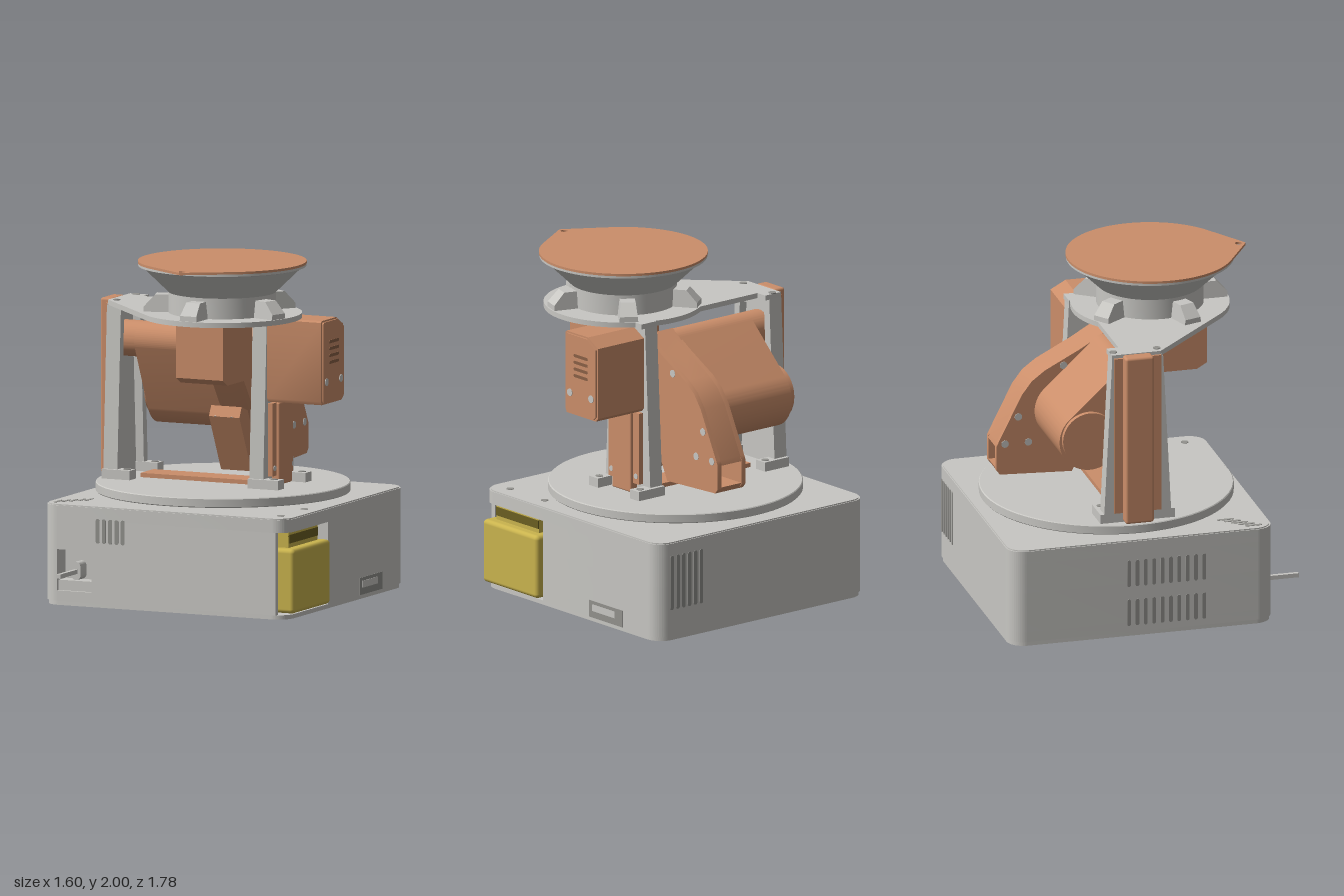
import * as THREE from 'three';
import { toCreasedNormals } from 'three/addons/utils/BufferGeometryUtils.js';
import { RoundedBoxGeometry } from 'three/addons/geometries/RoundedBoxGeometry.js';

const mat = (name, color) => Object.assign(new THREE.MeshStandardMaterial({ color }), { name });

export function createModel() {
  const grey = mat('light grey', 0xc8c7c3), orange = mat('terracotta', 0xcb8e6a);
  const yellow = mat('battery yellow', 0xcab44e), dark = mat('vent grey', 0x92918d);
  const brown = mat('recess brown', 0x8a6046), olive = mat('contact olive', 0x6b5f22);
  const model = new THREE.Group();

  const add = (name, geo, material) => {
    const m = new THREE.Mesh(geo, material);
    m.name = name;
    model.add(m);
    return m;
  };
  // box from its limits, optionally with rounded edges
  const box = (name, material, x0, x1, y0, y1, z0, z1, r = 0) => {
    const s = [x1 - x0, y1 - y0, z1 - z0];
    const g = r ? new RoundedBoxGeometry(...s, 3, r) : new THREE.BoxGeometry(...s);
    return add(name, g.translate((x0 + x1) / 2, (y0 + y1) / 2, (z0 + z1) / 2), material);
  };
  // extrusion from a to b along an axis; shapes are (x,z) for y, (x,y) for z, (-z,y) for x
  const slab = (name, material, shape, axis, a, b) => {
    let g = new THREE.ExtrudeGeometry(shape, { depth: b - a, bevelEnabled: false, curveSegments: 40 });
    if (axis === 'y') g.rotateX(Math.PI / 2).translate(0, b, 0);
    else if (axis === 'x') g.rotateY(Math.PI / 2).translate(a, 0, 0);
    else g.translate(0, 0, a);
    return add(name, toCreasedNormals(g, 0.5), material);
  };
  const poly = (pts) => new THREE.Shape(pts.map((p) => new THREE.Vector2(...p)));
  const side = (pts) => poly(pts.map(([z, y]) => [-z, y]));
  const disc = (x, y, r) => new THREE.Shape().absarc(x, y, r, 0, Math.PI * 2);
  // outline wrapped around two circles
  const hull = (x1, y1, r1, x2, y2, r2) => {
    const f = Math.atan2(y2 - y1, x2 - x1), k = Math.acos((r1 - r2) / Math.hypot(x2 - x1, y2 - y1));
    const s = new THREE.Shape();
    s.absarc(x1, y1, r1, f + k, f - k + Math.PI * 2);
    s.absarc(x2, y2, r2, f - k, f + k);
    return s;
  };

  // --- base housing, stacked in layers so the battery bay and front port are open
  const plan = (bay, port, o = 0) => {
    const s = new THREE.Shape(), L = -0.8 + o, R = 0.77 - o, B = -0.89 + o, F = 0.69 - o, r = 0.1, H = Math.PI / 2;
    s.absarc(L + r, B + r, r, Math.PI, 3 * H);
    s.absarc(R - r, B + r, r, -H, 0);
    if (bay) [[R, 0.145], [0.55, 0.145], [0.55, 0.66], [0.7, 0.66], [0.7, F]].forEach((p) => s.lineTo(...p));
    else s.absarc(R - r, F - r, r, 0, H);
    if (port) [[-0.48, F], [-0.48, 0.58], [-0.7, 0.58], [-0.7, F]].forEach((p) => s.lineTo(...p));
    s.absarc(L + r, F - r, r, H, Math.PI);
    return s;
  };
  slab('baseBottom', grey, plan(false, false, 0.006), 'y', 0.005, 0.03);
  slab('baseLower', grey, plan(true, false), 'y', 0.03, 0.09);
  slab('basePortLayer', grey, plan(true, true), 'y', 0.09, 0.33);
  slab('baseUpper', grey, plan(true, false), 'y', 0.33, 0.51);
  slab('baseTop', grey, plan(false, false), 'y', 0.51, 0.585);
  slab('baseTopEdge', grey, plan(false, false, 0.006), 'y', 0.585, 0.592);

  // front port with its plug and cable
  box('portFloor', grey, -0.7, -0.48, 0.09, 0.15, 0.58, 0.67);
  slab('portPlug', grey, hull(-0.594, 0.18, 0.028, -0.594, 0.23, 0.028), 'z', 0.58, 0.66);
  box('cable', grey, -0.606, -0.583, 0.19, 0.215, 0.6, 0.89);

  // vents on the front, back, right-hand side and lid
  for (let i = 0; i < 5; i++) {
    const x = -0.44 + i * 0.04;
    slab('frontVent', dark, hull(x, 0.39, 0.012, x, 0.51, 0.012), 'z', 0.688, 0.693);
    const t = -0.745 + i * 0.033, z = 0.62 - i * 0.033;
    slab('topVent', dark, hull(t, z - 0.08, 0.01, t, z, 0.01), 'y', 0.59, 0.594);
  }
  for (let i = 0; i < 6; i++) {
    const x = 0.45 + i * 0.044;
    slab('backVent', dark, hull(x, 0.2, 0.013, x, 0.5, 0.013), 'z', -0.893, -0.888);
  }
  for (let i = 0; i < 10; i++) for (const y of [0.08, 0.32]) {
    const z = 0.18 - i * 0.05;
    slab('sideVent', dark, hull(z, y, 0.011, z, y + 0.14, 0.011), 'x', -0.803, -0.798);
  }
  // side connector
  box('sidePort', dark, 0.768, 0.773, 0.03, 0.13, -0.57, -0.27);
  box('sidePortPlug', grey, 0.76, 0.776, 0.07, 0.11, -0.5, -0.3);
  // lid screws and underside feet
  for (const z of [0.25, 0.56]) slab('lidScrew', dark, disc(0.67, z, 0.022), 'y', 0.59, 0.595);
  for (const x of [-0.66, 0.63]) for (const z of [-0.75, 0.55])
    slab('footPad', dark, disc(x, z, 0.05), 'y', 0, 0.006);

  // --- battery
  box('battery', yellow, 0.551, 0.8, 0.04, 0.415, 0.165, 0.657, 0.025);
  box('batteryNeck', yellow, 0.551, 0.74, 0.4, 0.509, 0.22, 0.6);
  box('batteryContacts', olive, 0.735, 0.744, 0.44, 0.49, 0.22, 0.6);

  // --- turntable
  slab('turntableBearing', grey, disc(-0.02, -0.1, 0.54), 'y', 0.59, 0.616);
  const table = add('turntable', toCreasedNormals(new THREE.LatheGeometry(
    [[0, 0.615], [0.73, 0.615], [0.735, 0.62], [0.735, 0.665], [0.73, 0.67], [0, 0.67]].map((p) => new THREE.Vector2(...p)), 96), 0.5), grey);
  table.position.set(-0.02, 0, -0.1);
  box('floorStrip', orange, -0.51, 0.25, 0.67, 0.695, -0.19, -0.02);

  // --- two tapered posts: web, flanges, cap and feet
  const lean = (z0, z1, w) => side([[z0, 0.67], [z0 + w, 0.67], [z1 + w, 1.67], [z1, 1.67]]);
  for (const [x0, x1, w0, w1, f0, f1] of [[-0.69, -0.6, -0.69, -0.65, -0.6, -0.51], [0.245, 0.335, 0.3, 0.335, 0.335, 0.44]]) {
    slab('postWeb', grey, side([[-0.29, 0.67], [0.1, 0.67], [0.05, 1.67], [-0.25, 1.67]]), 'x', w0, w1);
    slab('postBackFlange', grey, lean(-0.3, -0.25, 0.05), 'x', x0, x1);
    slab('postFrontFlange', grey, lean(0.06, 0.01, 0.045), 'x', x0, x1);
    box('postCap', grey, x0, x1, 1.61, 1.68, -0.25, 0.05);
    for (const z of [-0.32, 0.045]) {
      box('postFoot', grey, Math.min(x0, f0), Math.max(x1, f1), 0.67, 0.725, z, z + 0.08);
      slab('footScrew', dark, disc((f0 + f1) / 2 + 0.01, z + 0.04, 0.022), 'y', 0.724, 0.728);
    }
  }

  // covers on the outside of the posts
  box('tallCover', orange, -0.77, -0.69, 0.68, 1.7, -0.19, -0.02, 0.015);
  box('tallCoverFlange', orange, -0.705, -0.688, 0.73, 1.68, -0.24, 0.04);
  box('shortCover', orange, 0.33, 0.385, 0.68, 1.16, -0.18, -0.01, 0.01);
  box('shortCoverFlange', orange, 0.33, 0.365, 0.735, 1.16, -0.23, 0.04);
  for (const z of [-0.205, 0.015]) slab('coverScrew', grey, disc(-z, 0.78, 0.016), 'x', 0.364, 0.369);

  // tilt drive box
  slab('driveBox', orange, side([[0.04, 1.17], [0.05, 1.19], [0.05, 1.65], [0.04, 1.66], [-0.15, 1.66],
    [-0.24, 1.61], [-0.24, 1.19], [-0.22, 1.17]]), 'x', 0.335, 0.68);
  slab('driveBoxFace', orange, side([[0.03, 1.18], [0.04, 1.2], [0.04, 1.64], [0.03, 1.65], [-0.15, 1.65],
    [-0.23, 1.6], [-0.23, 1.2], [-0.21, 1.18]]), 'x', 0.68, 0.69);
  for (let i = 0; i < 4; i++)
    slab('driveVent', brown, hull(0.045, 1.41 + i * 0.04, 0.009, 0.15, 1.41 + i * 0.04, 0.009), 'x', 0.688, 0.693);
  for (const z of [0, -0.19]) slab('driveScrew', grey, disc(-z, 1.3, 0.022), 'x', 0.688, 0.694);

  // --- swinging motor body with pivot and end cap
  slab('motorBody', orange, hull(0.1, 1.465, 0.105, 0.34, 1.135, 0.183), 'x', -0.54, 0.01);
  slab('pivot', orange, disc(0.1, 1.465, 0.105), 'x', -0.66, -0.53);
  slab('motorEndCap', orange, disc(0.35, 1.15, 0.16), 'x', -0.57, -0.53);

  // chute beside the motor, with an open square mouth at the back
  const top = [[0.1, 1.29], [0.06, 1.5], [-0.1, 1.58], [-0.25, 1.49], [-0.46, 1.38], [-0.54, 1.32], [-0.6, 1.24]];
  const low = [[-0.73, 0.765], [-0.3, 0.745], [-0.2, 0.95], [-0.02, 1.12]];
  const cheek = side([...top, [-0.74, 0.96], [-0.75, 0.94], [-0.75, 0.79], ...low]);
  slab('chuteCheek', orange, cheek, 'x', 0, 0.03);
  slab('chuteCheek', orange, cheek, 'x', 0.18, 0.21);
  slab('chuteCore', orange, side([...top, [-0.74, 0.96], [-0.75, 0.93], [-0.5, 0.93], [-0.5, 0.8], [-0.75, 0.8], ...low]), 'x', 0.03, 0.18);
  for (const [z, y] of [[-0.35, 1.4], [-0.62, 1.11], [-0.56, 0.95], [-0.7, 0.95]])
    for (const x of [-0.003, 0.208]) slab('chuteScrew', grey, disc(-z, y, 0.022), 'x', x, x + 0.005);

  // slanted front lever
  slab('lever', orange, side([[0.15, 1.08], [0.12, 1.14], [0.04, 1.11], [-0.11, 0.79], [-0.08, 0.76], [-0.01, 0.75]]), 'x', 0.01, 0.205);
  for (const [x, y] of [[0.05, 1.065], [0.155, 1.065], [0.11, 0.83]]) {
    const s = add('leverScrew', new THREE.CylinderGeometry(0.022, 0.022, 0.008, 24).rotateX(Math.PI / 2 + 0.45), grey);
    s.position.set(x, y, 0.145 - (1.08 - y) * 0.485);
  }

  // front head box
  slab('headBox', orange, side([[0.12, 1.31], [0.44, 1.31], [0.5, 1.345], [0.5, 1.66], [0.12, 1.66]]), 'x', -0.03, 0.27);
  box('headMount', orange, 0.02, 0.19, 1.4, 1.58, 0, 0.13);

  // --- top plate
  const rad = Math.PI / 180, plate = poly([[-0.69, -0.25], [-0.57, -0.25], [-0.57, -0.18]]);
  plate.absarc(0.12, 0.2, 0.46, -124 * rad, 135 * rad);
  plate.lineTo(-0.69, 0.04);
  slab('topPlate', grey, plate, 'y', 1.67, 1.7);
  box('plateLug', grey, 0.245, 0.36, 1.67, 1.7, -0.25, 0);
  for (const z of [-0.23, 0.03]) slab('plateScrew', dark, disc(-0.64, z, 0.022), 'y', 1.698, 1.704);

  // bowl with five gussets
  const bowl = add('bowl', toCreasedNormals(new THREE.LatheGeometry(
    [[0, 1.7], [0.31, 1.7], [0.31, 1.82], [0.46, 1.965], [0.485, 1.972], [0.485, 1.987], [0, 1.987]].map((p) => new THREE.Vector2(...p)), 96), 0.3), grey);
  bowl.position.set(0.12, 0, 0.2);
  for (let i = 0; i < 5; i++) {
    const g = new THREE.ExtrudeGeometry(poly([[0.28, 1.7], [0.45, 1.7], [0.45, 1.73], [0.385, 1.8], [0.28, 1.8]]), { depth: 0.11, bevelEnabled: false });
    g.translate(0, 0, -0.055);
    const p = g.attributes.position;
    for (let k = 0; k < p.count; k++) p.setZ(k, p.getZ(k) * (1 - (p.getY(k) - 1.7) * 2));
    g.computeVertexNormals();
    const m = add('gusset', g, grey);
    m.position.set(0.12, 0, 0.2);
    m.rotation.y = -(90 + i * 72) * rad;
  }

  // teardrop lid with a hole at its tip
  const lid = hull(0.12, 0.2, 0.487, 0.12, 0.752, 0.018);
  lid.holes.push(new THREE.Path().absarc(0.12, 0.73, 0.021, 0, Math.PI * 2));
  slab('lid', orange, lid, 'y', 1.986, 2);

  return model;
}
